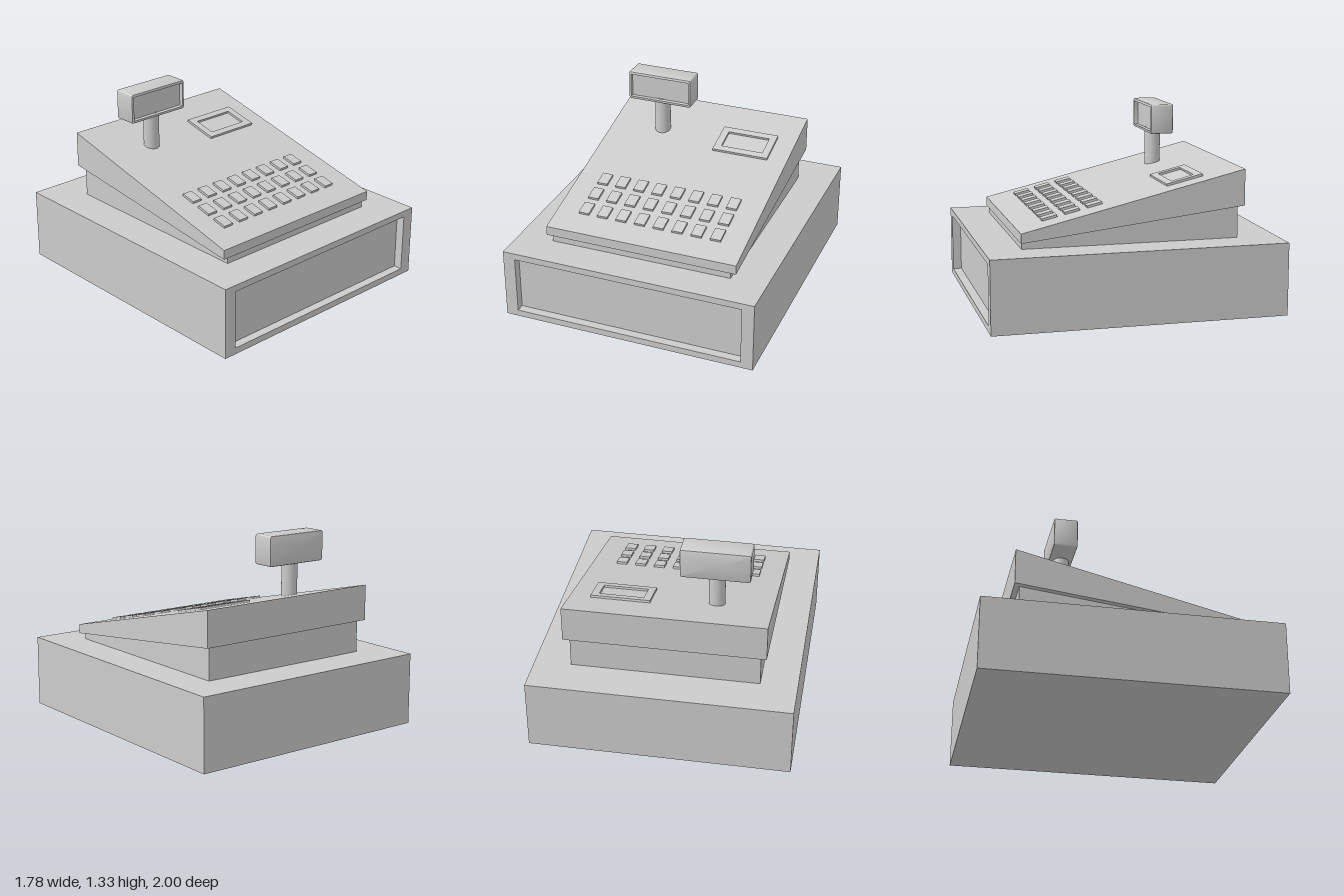
import * as THREE from 'three';
import { toCreasedNormals } from 'three/addons/utils/BufferGeometryUtils.js';

const material = new THREE.MeshStandardMaterial({ color: 0xcccccc });

function addMesh(parent, name, geometry, x = 0, y = 0, z = 0) {
  const mesh = new THREE.Mesh(geometry, material);
  mesh.name = name;
  mesh.position.set(x, y, z);
  parent.add(mesh);
  return mesh;
}

// Rectangle outline, counter-clockwise, with optional rounded corners
function rectLoop([w, h, z, r = 0], steps) {
  const points = [];
  const corners = [[1, 1], [-1, 1], [-1, -1], [1, -1]];
  corners.forEach(([sx, sy], c) => {
    for (let i = 0; i <= steps; i++) {
      const a = (c + (steps ? i / steps : 0)) * Math.PI / 2;
      const dx = steps ? r * Math.cos(a) : 0, dy = steps ? r * Math.sin(a) : 0;
      points.push([sx * (w / 2 - r) + dx, sy * (h / 2 - r) + dy, z]);
    }
  });
  return points;
}

// Closed solid through rectangles [width, height, z, radius]; a recess is made by stepping back in z
function rectLoft(rings, steps = 0) {
  const loops = rings.map((ring) => rectLoop(ring, steps));
  const n = loops[0].length, last = loops.length - 1, out = [];
  for (let i = 0; i < n; i++) {
    const j = (i + 1) % n;
    for (let k = 0; k < last; k++) {
      const a = loops[k], b = loops[k + 1];
      out.push(...a[i], ...a[j], ...b[j], ...a[i], ...b[j], ...b[i]);
    }
    out.push(0, 0, rings[0][2], ...loops[0][j], ...loops[0][i]);
    out.push(0, 0, rings[last][2], ...loops[last][i], ...loops[last][j]);
  }
  const geometry = new THREE.BufferGeometry();
  geometry.setAttribute('position', new THREE.Float32BufferAttribute(out, 3));
  geometry.computeVertexNormals();
  return steps ? toCreasedNormals(geometry, 0.6) : geometry;
}

// Side profile of [z, y] points extruded across x
function sideExtrude(profile, width) {
  const shape = new THREE.Shape(profile.map(([z, y]) => new THREE.Vector2(-z, y)));
  const geometry = new THREE.ExtrudeGeometry(shape, { depth: width, bevelEnabled: false });
  return geometry.translate(0, 0, -width / 2).rotateY(Math.PI / 2);
}

export function createModel() {
  const model = new THREE.Group();
  model.name = 'cashRegister';

  // Cash drawer box with a recessed front
  addMesh(model, 'drawerBase', rectLoft([
    [1.78, 0.495, -1], [1.78, 0.495, 1], [1.61, 0.405, 1], [1.61, 0.405, 0.94],
  ]), 0, 0.2475, 0);

  // Narrow neck and sloped housing
  addMesh(model, 'neck', sideExtrude([[0.75, 0.48], [0.75, 0.55], [-0.725, 0.73], [-0.725, 0.48]], 1.28));
  addMesh(model, 'slopedHousing', sideExtrude([[0.76, 0.54], [0.76, 0.605], [-0.76, 0.967], [-0.76, 0.72]], 1.36));

  // Parts lying on the slope: local y runs up the slope, local z points out of it
  const tilt = Math.atan2(0.362, 1.52);
  const panel = new THREE.Group();
  panel.name = 'slopedPanel';
  panel.position.set(0, 0.786, 0);
  panel.rotation.x = tilt - Math.PI / 2;
  model.add(panel);
  const up = (z) => -z / Math.cos(tilt);

  // Keypad
  const keyGeometry = new THREE.BoxGeometry(0.074, 0.105, 0.032);
  for (const z of [0.228, 0.381, 0.534]) {
    for (let i = 0; i < 8; i++) addMesh(panel, 'key', keyGeometry, -0.48 + i * 0.136, up(z), 0);
  }

  // Receipt slot frame
  addMesh(panel, 'receiptSlot', rectLoft([
    [0.405, 0.258, -0.01], [0.405, 0.258, 0.016], [0.305, 0.16, 0.016], [0.305, 0.16, 0.001],
  ]), 0.3375, up(-0.385), 0);

  // Customer display on its pole
  addMesh(model, 'displayPole', new THREE.CylinderGeometry(0.055, 0.055, 0.34, 32), -0.3, 0.97, -0.4);
  addMesh(model, 'display', rectLoft([
    [0.45, 0.19, -0.082, 0.005], [0.464, 0.204, -0.079, 0.012], [0.47, 0.21, -0.072, 0.015],
    [0.47, 0.21, 0.072, 0.015], [0.464, 0.204, 0.079, 0.012], [0.45, 0.19, 0.082, 0.005],
    [0.436, 0.17, 0.082, 0.002], [0.436, 0.17, 0.052, 0.002],
  ], 3), -0.295, 1.22, -0.402);

  return model;
}
